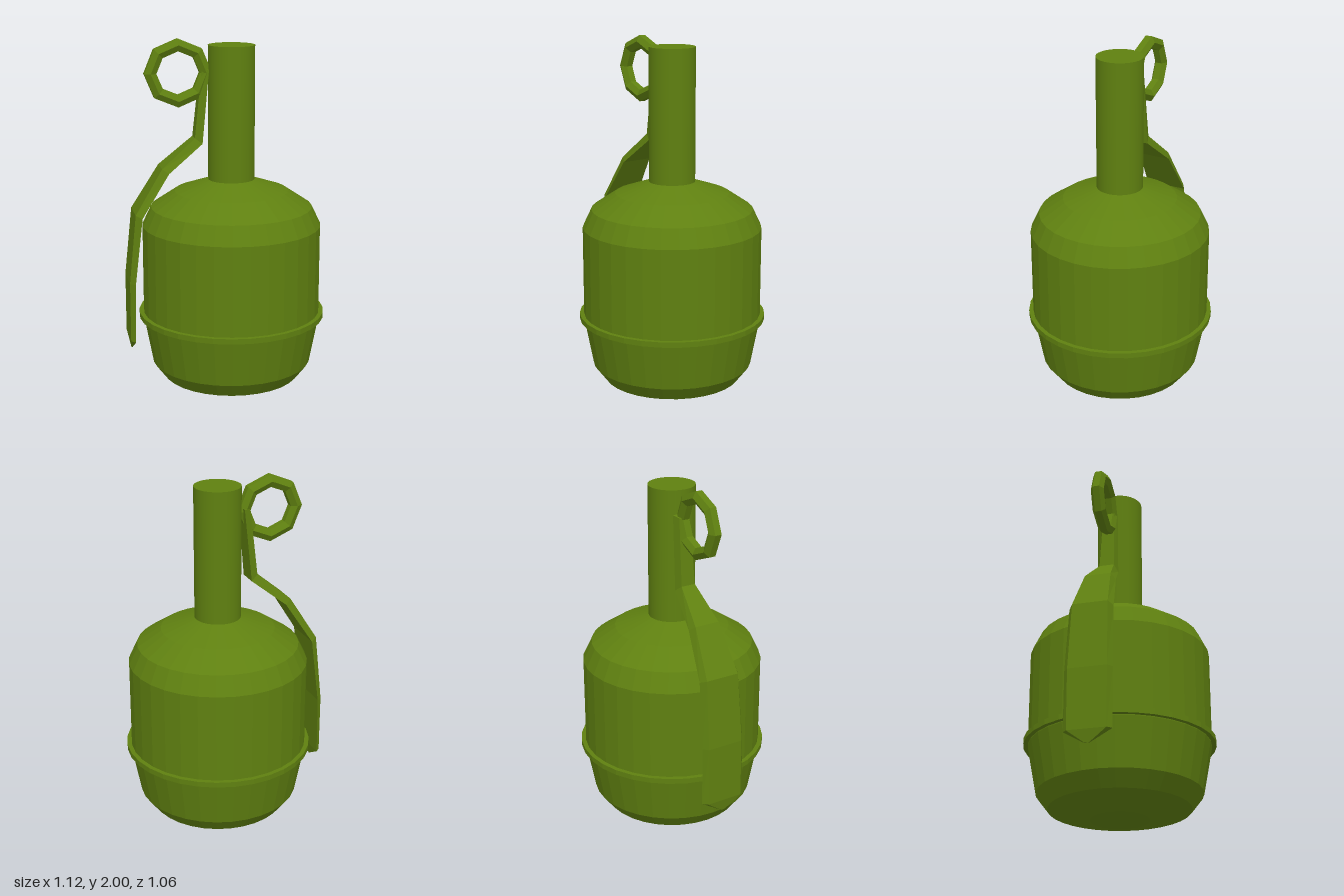
import * as THREE from 'three';

const AXIS_X = 0.03; // body axis, offset to balance the lever

export function createModel() {
  const model = new THREE.Group();
  const olive = new THREE.MeshStandardMaterial({ color: 0x5f8010 });
  olive.name = 'olive green';

  // Faceted mesh: every face gets its own normal
  function addFlat(name, geometry, x = 0, y = 0, z = 0) {
    const flat = geometry.index ? geometry.toNonIndexed() : geometry;
    flat.computeVertexNormals();
    const mesh = new THREE.Mesh(flat, olive);
    mesh.name = name;
    mesh.position.set(x, y, z);
    model.add(mesh);
    return mesh;
  }

  // Body: faceted canister with chamfered base and domed shoulder
  const profile = [
    [0, 0], [0.16, 0.005], [0.39, 0.06], [0.455, 0.145], [0.505, 0.41],
    [0.505, 0.95], [0.455, 1.055], [0.32, 1.145], [0.13, 1.21], [0, 1.21],
  ].map(([r, y]) => new THREE.Vector2(r, y));
  addFlat('body', new THREE.LatheGeometry(profile, 32), AXIS_X);

  // Raised seam band around the body
  addFlat('seamBand', new THREE.CylinderGeometry(0.53, 0.53, 0.03, 32), AXIS_X, 0.43);

  // Neck: smooth-sided column
  const neck = new THREE.Mesh(new THREE.CylinderGeometry(0.13, 0.13, 0.78, 32), olive);
  neck.name = 'neck';
  neck.position.set(AXIS_X, 1.57, 0);
  model.add(neck);

  // Pull ring: eight-sided loop with a hexagonal section
  const section = [];
  for (let i = 0; i <= 6; i++) {
    const a = Math.PI / 6 + (i * Math.PI) / 3;
    section.push(new THREE.Vector2(0.154 + 0.039 * Math.cos(a), 0.038 * Math.sin(a)));
  }
  const ring = new THREE.LatheGeometry(section, 8);
  ring.rotateX(Math.PI / 2);
  addFlat('pullRing', ring, -0.267, 1.81, -0.017);

  // Lever: outer x, y, inner x, y, outer half width, inner half width
  const stations = [
    [-0.14, 1.82, -0.1, 1.83, 0.032, 0.047],
    [-0.18, 1.45, -0.14, 1.42, 0.042, 0.058],
    [-0.37, 1.29, -0.335, 1.265, 0.073, 0.094],
    [-0.525, 1.04, -0.49, 1.025, 0.098, 0.122],
    [-0.565, 0.65, -0.535, 0.65, 0.106, 0.13],
    [-0.565, 0.31, -0.54, 0.31, 0.106, 0.13],
    [-0.552, 0.24, -0.548, 0.24, 0.012, 0.014],
  ];
  const positions = [];
  for (const [ox, oy, ix, iy, ow, iw] of stations) {
    positions.push(ox, oy, -ow, ox, oy, ow, ix, iy, iw, ix, iy, -iw);
  }
  const indices = [0, 1, 2, 0, 2, 3];
  for (let s = 0; s < stations.length - 1; s++) {
    for (let c = 0; c < 4; c++) {
      const a = s * 4 + c;
      const b = s * 4 + ((c + 1) % 4);
      indices.push(a, a + 4, b, b, a + 4, b + 4);
    }
  }
  const end = (stations.length - 1) * 4;
  indices.push(end, end + 2, end + 1, end, end + 3, end + 2);
  const lever = new THREE.BufferGeometry();
  lever.setAttribute('position', new THREE.Float32BufferAttribute(positions, 3));
  lever.setIndex(indices);
  addFlat('lever', lever, 0, 0, -0.024);

  return model;
}
